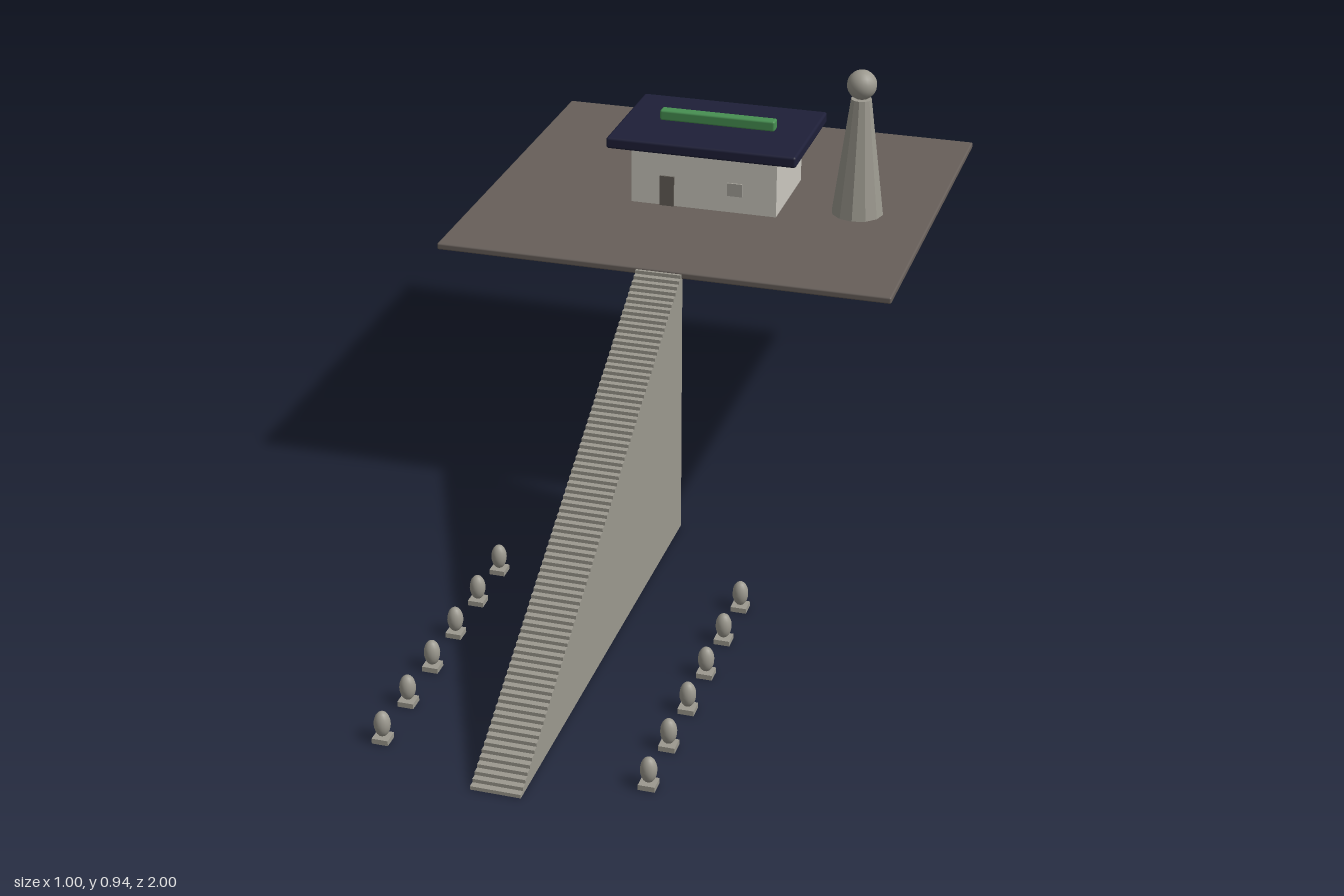
import * as THREE from 'three';
import { RoundedBoxGeometry } from 'three/addons/geometries/RoundedBoxGeometry.js';

const mat = (name, color, extra = {}) => {
  const m = new THREE.MeshStandardMaterial({ color, ...extra });
  m.name = name;
  return m;
};

export function createModel() {
  const model = new THREE.Group();
  model.name = 'hilltopShrine';

  const stone = mat('stone', 0x9c998f);
  const stoneFacet = mat('facetedStone', 0x9c998f, { flatShading: true });
  const earth = mat('earth', 0x675f5a);
  const plaster = mat('plaster', 0xcbc8bf);
  const navy = mat('navyTile', 0x1e1f38);
  const green = mat('greenRidge', 0x479052);
  const dark = mat('darkDoor', 0x645f58);
  const grey = mat('greyWindow', 0xa5a299);

  const add = (name, geometry, material, x, y, z, parent = model) => {
    const mesh = new THREE.Mesh(geometry, material);
    mesh.name = name;
    mesh.position.set(x, y, z);
    parent.add(mesh);
    return mesh;
  };

  // Terrace slab
  add('terrace', new RoundedBoxGeometry(1, 0.015, 0.932, 2, 0.004), earth, 0, 0.6045, -0.534);

  // Solid staircase: stepped profile in the z-y plane, extruded across x
  const steps = 80, run = 1.075, rise = 0.608, width = 0.1;
  const profile = new THREE.Shape();
  profile.moveTo(0, 0);
  for (let i = 0; i < steps; i++) {
    profile.lineTo((run * i) / steps, (rise * (i + 1)) / steps);
    profile.lineTo((run * (i + 1)) / steps, (rise * (i + 1)) / steps);
  }
  profile.lineTo(run, 0);
  const stairs = new THREE.ExtrudeGeometry(profile, { depth: width, bevelEnabled: false });
  stairs.translate(0, 0, -width / 2);
  stairs.rotateY(Math.PI / 2);
  add('staircase', stairs, stone, 0, 0, 1);

  // Hall with door, window, roof and ridge
  const hall = new THREE.Group();
  hall.name = 'hall';
  model.add(hall);
  add('walls', new THREE.BoxGeometry(0.333, 0.135, 0.233), plaster, 0, 0.6785, -0.534, hall);
  add('door', new THREE.BoxGeometry(0.033, 0.07, 0.006), dark, -0.084, 0.647, -0.4165, hall);
  add('window', new THREE.BoxGeometry(0.034, 0.03, 0.006), grey, 0.072, 0.667, -0.4165, hall);
  add('roof', new RoundedBoxGeometry(0.432, 0.026, 0.3, 2, 0.006), navy, 0, 0.758, -0.534, hall);
  add('ridge', new RoundedBoxGeometry(0.266, 0.025, 0.026, 2, 0.005), green, 0, 0.782, -0.537, hall);

  // Tapered tower with a ball on top
  const tower = new THREE.Group();
  tower.name = 'tower';
  model.add(tower);
  add('towerShaft', new THREE.CylinderGeometry(0.023, 0.058, 0.267, 12), stoneFacet, 0.332, 0.7455, -0.5, tower);
  add('towerBall', new THREE.SphereGeometry(0.033, 20, 14), stone, 0.332, 0.911, -0.5, tower);

  // Two rows of egg-shaped stones on square plinths
  const plinthShape = new THREE.BoxGeometry(0.033, 0.011, 0.033);
  const eggShape = new THREE.SphereGeometry(0.0165, 16, 12).scale(1, 1.65, 1);
  for (const side of [-1, 1]) {
    for (let i = 0; i < 6; i++) {
      const lantern = new THREE.Group();
      lantern.name = side > 0 ? 'leftPathStone' : 'rightPathStone';
      lantern.position.set(side * 0.266, 0, 0.23 + 0.133 * i);
      model.add(lantern);
      add('plinth', plinthShape, stone, 0, 0.0055, 0, lantern);
      add('egg', eggShape, stone, 0, 0.038, 0, lantern);
    }
  }
  return model;
}
